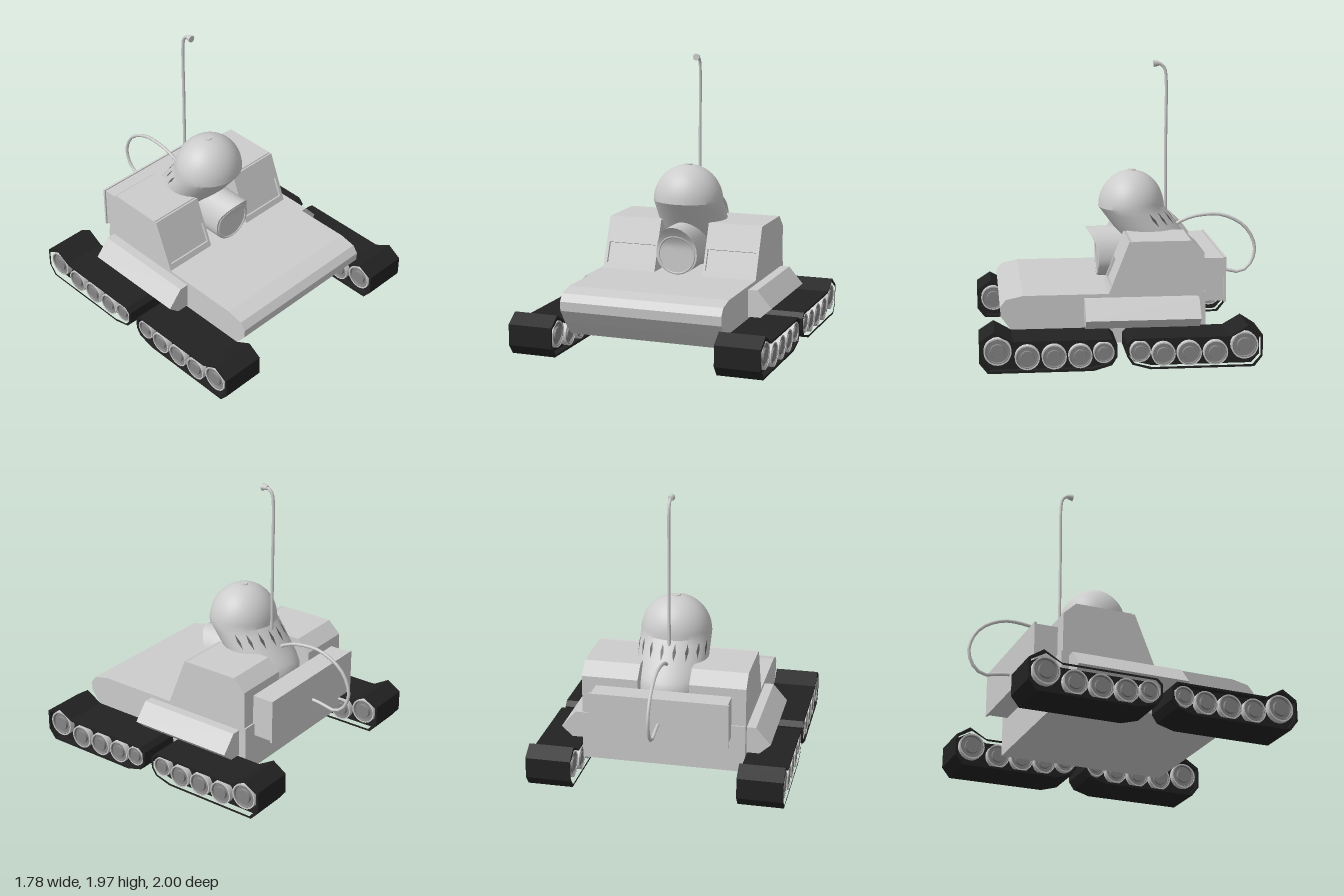
import * as THREE from 'three';
import { toCreasedNormals } from 'three/addons/utils/BufferGeometryUtils.js';
import { ParametricGeometry } from 'three/addons/geometries/ParametricGeometry.js';

const mat = (name, color, side = THREE.FrontSide) =>
  Object.assign(new THREE.MeshStandardMaterial({ color, side }), { name });

export function createModel() {
  const model = new THREE.Group();
  model.name = 'trackedVehicle';
  const body = mat('light grey', 0xcccccc);
  const rubber = mat('track black', 0x222222);
  const steel = mat('wheel grey', 0x858585);
  const dark = mat('vent grey', 0x606060, THREE.DoubleSide);

  const add = (name, geo, material, parent = model) => {
    const m = new THREE.Mesh(geo, material);
    m.name = name;
    parent.add(m);
    return m;
  };
  // Shape from [z, y] pairs, extruded across x
  const sideShape = pts => new THREE.Shape(pts.map(([z, y]) => new THREE.Vector2(-z, y)));
  const extrudeX = (shape, xa, xb) => {
    const x0 = Math.min(xa, xb);
    return new THREE.ExtrudeGeometry(shape, { depth: Math.abs(xb - xa), bevelEnabled: false })
      .rotateY(Math.PI / 2).translate(x0, 0, 0);
  };

  // Hull
  add('hull', extrudeX(sideShape([
    [0.7, 0.44], [0.815, 0.415], [0.855, 0.365], [0.85, 0.3], [0.78, 0.205],
    [0.68, 0.1], [-0.54, 0.1], [-0.54, 0.44]]), -0.575, 0.575), body);

  // Cabin blocks with recessed front windows
  const slope = Math.atan2(0.14, 0.355), slopeLength = Math.hypot(0.14, 0.355), recess = 0.02;
  for (const s of [1, -1]) {
    add('cabinBlock', extrudeX(sideShape([
      [0.1, 0.44], [-0.0415, 0.795], [-0.44, 0.795], [-0.53, 0.71], [-0.53, 0.44]]),
      s * 0.18, s * 0.575), body);
    const rect = (C, xa, xb, v0, v1) => {
      const a = Math.min(s * xa, s * xb), b = Math.max(s * xa, s * xb);
      return new C([[a, v0], [b, v0], [b, v1], [a, v1]].map(p => new THREE.Vector2(...p)));
    };
    const frame = rect(THREE.Shape, 0.18, 0.575, 0, slopeLength);
    frame.holes.push(rect(THREE.Path, 0.197, 0.552, 0.043, 0.194));
    const f = add('windowFrame', new THREE.ExtrudeGeometry(frame, { depth: recess, bevelEnabled: false }), body);
    f.rotation.x = -slope;
    f.position.set(0, 0.44 - recess * Math.sin(slope), 0.12 - recess * Math.cos(slope));

    // Side sponson
    const p = [[0.57, 0.415], [0.64, 0.415], [0.743, 0.295], [0.665, 0.225], [0.57, 0.225]];
    const sponson = new THREE.Shape(p.map(([x, y]) => new THREE.Vector2(s * x, y)));
    add('sponson', new THREE.ExtrudeGeometry(sponson, { depth: 0.775, bevelEnabled: false })
      .translate(0, 0, -0.487), body);
  }

  // Rear equipment box with a lipped end
  add('rearBox', new THREE.BoxGeometry(0.95, 0.3, 0.16).translate(0, 0.5, -0.61), body);
  add('rearBoxLip', new THREE.BoxGeometry(0.97, 0.315, 0.015).translate(0, 0.5, -0.688), body);

  // Head: upright dome above a neck that leans backwards
  const headPoint = (y, angle, target, grow = 0) => {
    const d = 0.94 - y;
    let front = 0.14, back = -0.325, half = 0.25;
    if (d > 0) {
      front -= 0.75 * d;
      back = Math.max(back - 0.72 * d, -0.525);
      half -= 0.15 * Math.max(0, d - 0.2);
    }
    const k = d < 0 ? Math.sqrt(Math.max(0, 1 - (d / 0.255) ** 2)) : 1;
    return target.set((half * k + grow) * Math.sin(angle), y,
      (front + back) / 2 + ((front - back) / 2 * k + grow) * Math.cos(angle));
  };
  add('head', toCreasedNormals(new ParametricGeometry((u, v, t) => {
    const y = v < 0.5 ? 0.44 + v : 0.94 + 0.255 * Math.sin((v - 0.5) * Math.PI);
    headPoint(y, u * Math.PI * 2, t);
  }, 36, 24), 0.5), body);
  add('headCap', new THREE.CylinderGeometry(0.028, 0.03, 0.008, 16).translate(0, 1.195, -0.095), body);

  // Diamond vents round the back of the neck
  for (const s of [1, -1]) for (const a of [0.17, 0.52, 0.87, 1.2]) {
    const mid = Math.PI + s * a;
    const pts = [[0.82, 0], [0.87, 0.05], [0.92, 0], [0.87, -0.05]]
      .map(([y, da]) => headPoint(y, mid + da, new THREE.Vector3(), 0.004));
    const g = new THREE.BufferGeometry().setFromPoints(pts);
    g.setIndex([0, 1, 2, 0, 2, 3]);
    g.computeVertexNormals();
    add('neckVent', g, dark);
  }

  // Snout: round below, with a brow sweeping forwards at the top
  const browZ = y => 0.15 + 0.085 * Math.max(0, (y - 0.64) / 0.155) ** 1.5;
  add('snout', toCreasedNormals(new ParametricGeometry((u, v, t) => {
    const a = u * Math.PI * 2, r = v <= 0.5 ? 1 : 2 - 2 * v;
    const up = Math.sin(a);
    const x = 0.152 * r * Math.cos(a), y = 0.585 + (up > 0 ? 0.21 : 0.142) * r * up;
    const z = v <= 0.5 ? THREE.MathUtils.lerp(-0.2, browZ(y), v * 2) : browZ(y);
    t.set(x, y, z);
  }, 32, 16), 0.6), body);
  const lens = new THREE.TorusGeometry(0.133, 0.007, 6, 32).translate(0, 0.585, 0);
  const lp = lens.attributes.position;
  for (let i = 0; i < lp.count; i++) lp.setZ(i, lp.getZ(i) + browZ(lp.getY(i)));
  lens.computeVertexNormals();
  add('lensRing', lens, body);

  // Antenna with a hooked tip
  const tube = (name, pts, segments, r) => add(name, new THREE.TubeGeometry(
    new THREE.CatmullRomCurve3(pts.map(([z, y]) => new THREE.Vector3(0, y, z))), segments, r, 8), body);
  tube('antenna', [[-0.338, 0.8], [-0.338, 1.4], [-0.338, 1.85], [-0.328, 1.91], [-0.3, 1.94], [-0.27, 1.945]], 40, 0.011);
  add('antennaTip', new THREE.CylinderGeometry(0.025, 0.016, 0.04, 12)
    .rotateX(Math.PI / 2).translate(0, 1.943, -0.27), body);

  // Hose looping from the neck to the rear box
  tube('hose', [[-0.4, 0.79], [-0.46, 0.825], [-0.56, 0.857], [-0.75, 0.86], [-0.92, 0.765], [-0.988, 0.61],
    [-0.945, 0.485], [-0.87, 0.443], [-0.77, 0.462], [-0.69, 0.47]], 20, 0.012);

  // Track units: belt, recessed core and road wheels on both faces
  const outline = [[0.9, 0.28], [1, 0.215], [1, 0.07], [0.945, 0], [0.25, 0],
    [0.13, 0.035], [0.095, 0.09], [0.095, 0.175], [0.13, 0.21], [0.78, 0.21]];
  const wheels = [[0.88, 0.145, 0.092], [0.686, 0.1, 0.083], [0.51, 0.1, 0.083],
    [0.338, 0.1, 0.08], [0.183, 0.12, 0.07]];
  const lathe = pts => toCreasedNormals(new THREE.LatheGeometry(
    pts.map(p => new THREE.Vector2(...p)), 20).rotateZ(-Math.PI / 2), 0.5);
  const addWheel = (parent, z, y, r, x, dir) => {
    const w = new THREE.Group();
    w.name = 'roadWheel';
    add('wheelDisc', lathe([[r * 0.92, 0], [r * 0.92, 0.04], [r * 0.84, 0.04], [r * 0.8, 0.028],
      [r * 0.56, 0.028], [r * 0.52, 0.043], [0, 0.043]]), steel, w);
    add('wheelRim', lathe([[r, 0], [r, 0.043], [r * 0.9, 0.043], [r * 0.9, 0]]), body, w);
    w.position.set(x, y, z);
    if (dir < 0) w.rotation.y = Math.PI;
    parent.add(w);
  };
  for (const s of [1, -1]) for (const rear of [false, true]) {
    const unit = new THREE.Group();
    unit.name = rear ? 'rearTrack' : 'frontTrack';
    const place = z => rear ? 0.125 - z : z;
    const pts = outline.map(([z, y]) => [place(z), y]);
    const inner = pts.map(([z, y]) => [
      place(0.55) + (z - place(0.55)) * 0.965, 0.11 + (y - 0.11) * 0.86]);
    const belt = sideShape(pts);
    belt.holes.push(new THREE.Path(sideShape(inner).getPoints()));
    add('trackBelt', extrudeX(belt, s * 0.575, s * 0.89), rubber, unit);
    add('trackCore', extrudeX(sideShape(inner), s * 0.62, s * 0.845), rubber, unit);
    for (const [z, y, r] of wheels) {
      addWheel(unit, place(z), y, r, s * 0.844, s);
      addWheel(unit, place(z), y, r, s * 0.621, -s);
    }
    model.add(unit);
  }
  return model;
}
